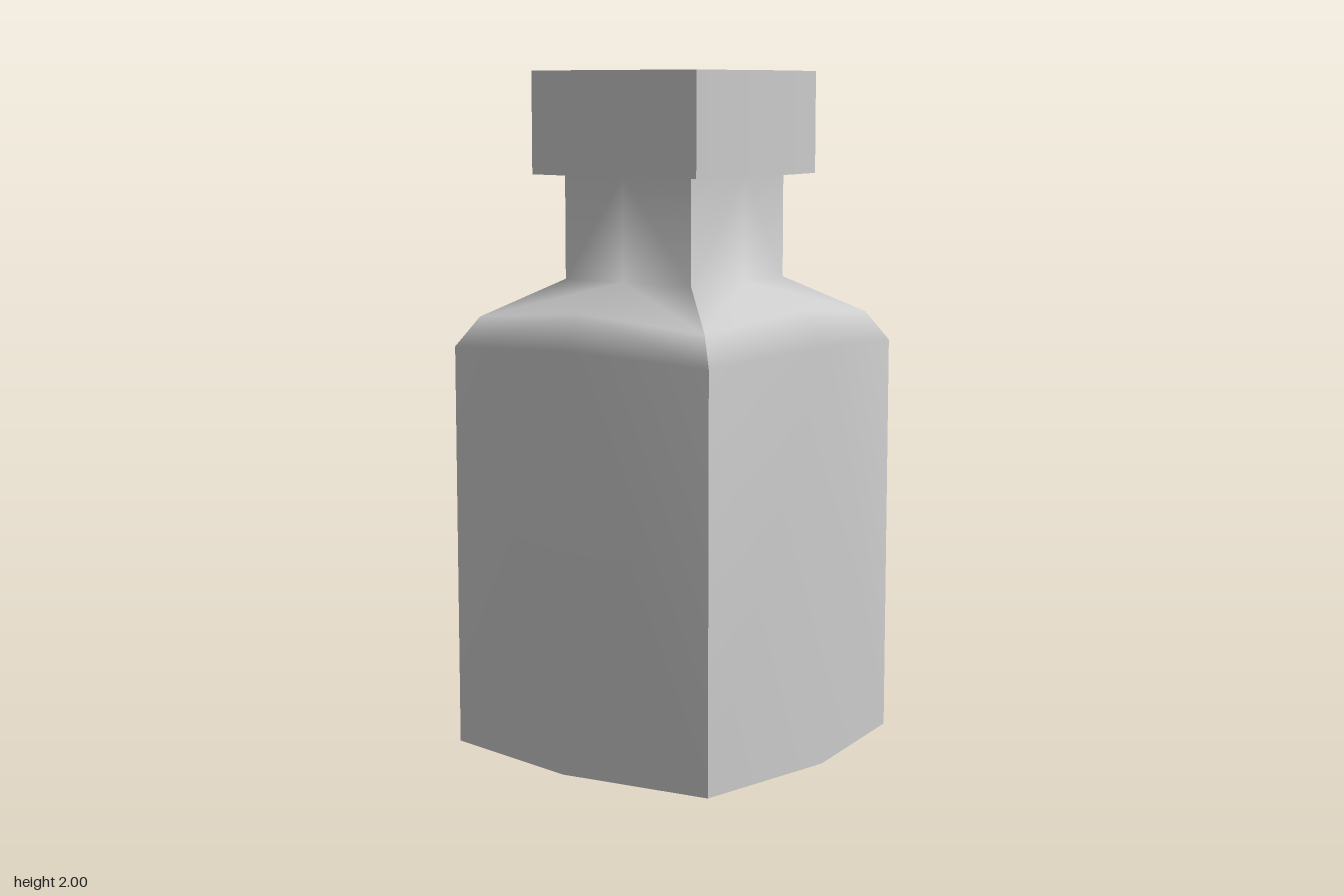
import * as THREE from 'three';
import { mergeGeometries } from 'three/addons/utils/BufferGeometryUtils.js';

// Each level: [corner offset, corner height, mid-side offset, mid-side height]
const BODY = [
  [0.462, 0, 0.536, 0],
  [0.462, 1.197, 0.536, 1.223],
  [0.41, 1.284, 0.454, 1.32],
  [0.23, 1.393, 0.25, 1.395],
  [0.23, 1.7, 0.25, 1.7],
];
const CAP = [
  [0.298, 1.7, 0.333, 1.7],
  [0.298, 2, 0.333, 2],
];

// One bowed side, smooth within itself, sharp against its neighbours
function bowedSide(levels) {
  const pos = [], uv = [], index = [];
  levels.forEach(([c, yc, m, ym], r) => {
    pos.push(-c, yc, c, 0, ym, m, c, yc, c);
    uv.push(0, yc, 0.5, ym, 1, yc);
    if (r === levels.length - 1) return;
    const a = r * 3;
    index.push(a, a + 1, a + 4, a, a + 4, a + 3);
    index.push(a + 1, a + 2, a + 4, a + 2, a + 5, a + 4);
  });
  const g = new THREE.BufferGeometry();
  g.setAttribute('position', new THREE.Float32BufferAttribute(pos, 3));
  g.setAttribute('uv', new THREE.Float32BufferAttribute(uv, 2));
  g.setIndex(index);
  g.computeVertexNormals();
  return g;
}

// Flat eight-cornered end face, looking up or down
function endFace([c, , m, y], up) {
  const outline = [[c, c], [0, m], [-c, c], [-m, 0], [-c, -c], [0, -m], [c, -c], [m, 0]];
  const shape = new THREE.Shape(outline.map(([x, z]) => new THREE.Vector2(x, z)));
  return new THREE.ShapeGeometry(shape).rotateX(up ? -Math.PI / 2 : Math.PI / 2).translate(0, y, 0);
}

function bowedSquareSolid(name, levels, material) {
  const parts = [endFace(levels[0], false), endFace(levels[levels.length - 1], true)];
  for (let i = 0; i < 4; i++) parts.push(bowedSide(levels).rotateY(i * Math.PI / 2));
  const mesh = new THREE.Mesh(mergeGeometries(parts), material);
  mesh.name = name;
  return mesh;
}

export function createModel() {
  const material = new THREE.MeshStandardMaterial({ color: 0xcccccc });
  const bottle = new THREE.Group();
  bottle.name = 'bottle';
  bottle.add(bowedSquareSolid('bottleBody', BODY, material));
  bottle.add(bowedSquareSolid('stopper', CAP, material));
  return bottle;
}
